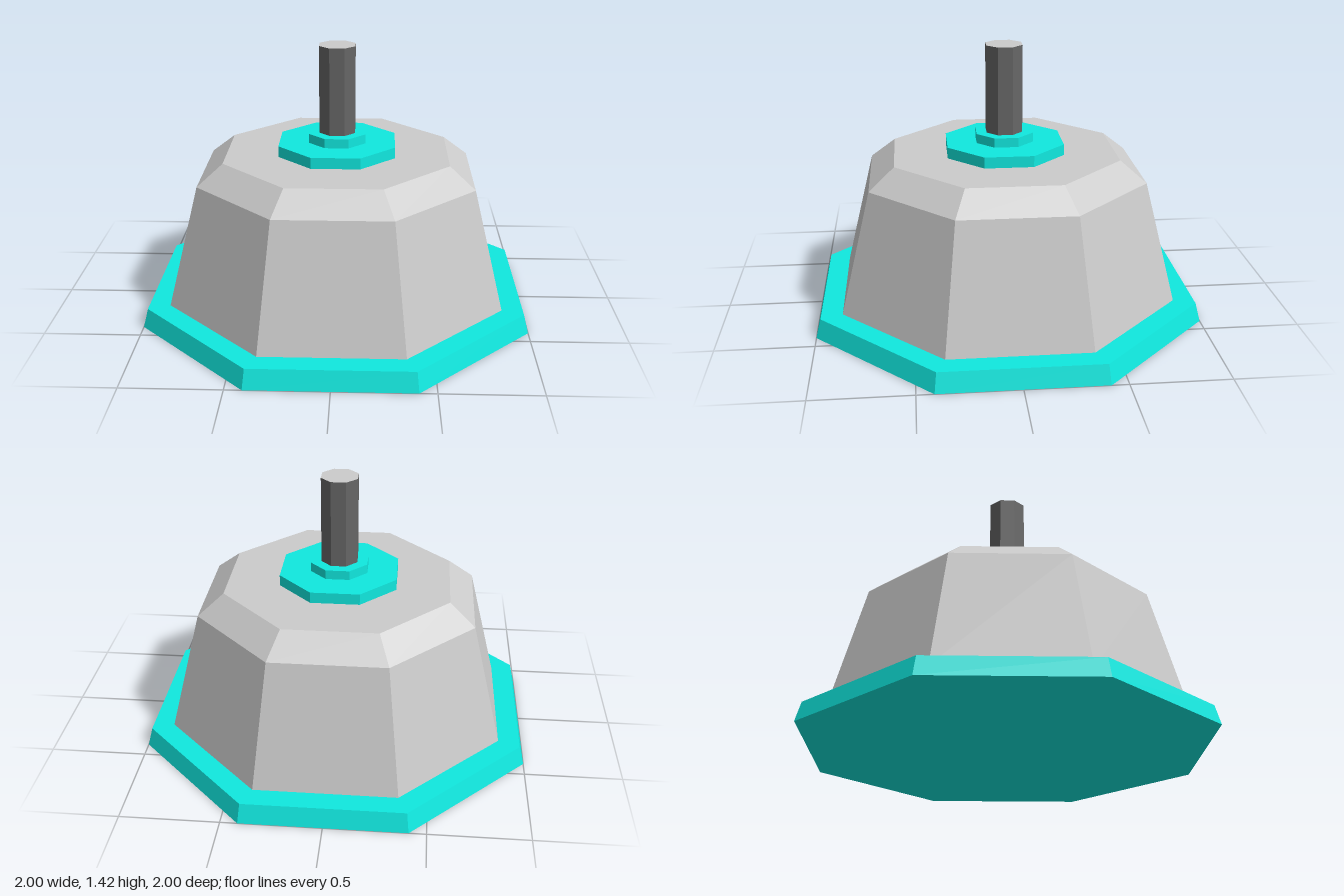
import * as THREE from 'three';

const SIDES = 8;
const material = (color) => new THREE.MeshStandardMaterial({ color, flatShading: true });

// Octagonal frustum with flats facing the axes; radii are measured to the flats.
function octagon(name, bottom, top, y0, y1, mat, openEnded = false) {
  const k = 1 / Math.cos(Math.PI / SIDES);
  const geometry = new THREE.CylinderGeometry(
    top * k, bottom * k, y1 - y0, SIDES, 1, openEnded, Math.PI / SIDES);
  geometry.translate(0, (y0 + y1) / 2, 0);
  const mesh = new THREE.Mesh(geometry, mat);
  mesh.name = name;
  return mesh;
}

export function createModel() {
  const grey = material(0xcccccc);
  const teal = material(0x10e8df);
  const dark = material(0x666666);

  const model = new THREE.Group();
  model.name = 'octagonalDome';

  // Flared base plate
  model.add(octagon('basePlate', 1, 0.975, 0, 0.1, teal));

  // Tapered body with a bevelled shoulder
  const body = new THREE.Group();
  body.name = 'body';
  body.add(octagon('bodyWall', 0.865, 0.708, 0.1, 0.74, grey, true));
  body.add(octagon('bodyShoulder', 0.708, 0.578, 0.74, 0.85, grey));
  model.add(body);

  // Stepped collar
  model.add(octagon('collar', 0.302, 0.302, 0.85, 0.908, teal));
  model.add(octagon('collarStep', 0.147, 0.147, 0.908, 0.957, teal));

  // Dark rod with a light top cap
  model.add(octagon('rod', 0.093, 0.093, 0.957, 1.418, [dark, grey, dark]));

  return model;
}
